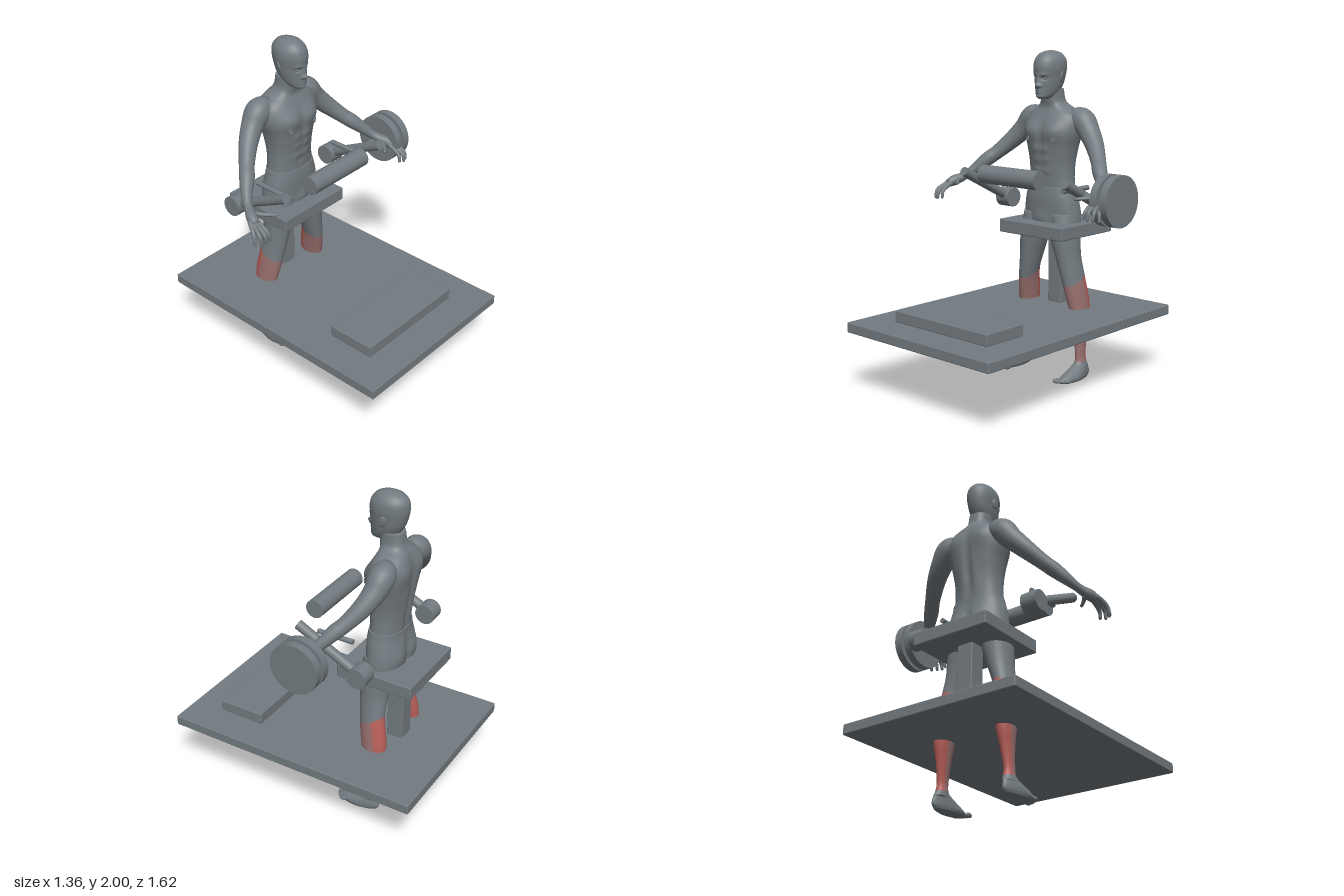
import * as THREE from 'three';
import { RoundedBoxGeometry } from 'three/addons/geometries/RoundedBoxGeometry.js';

const mat = (name, color) => Object.assign(new THREE.MeshStandardMaterial({ color }), { name });
const V = (x, y, z) => new THREE.Vector3(x, y, z);

// Skin closed rings of points, ordered along the part, with capped ends
function skin(rings, pick = () => 0, mats = 1) {
  const n = rings[0].length, m = rings.length, pos = [];
  const lists = Array.from({ length: mats }, () => []);
  rings.flat().forEach(p => pos.push(p.x, p.y, p.z));
  for (let i = 0; i < m - 1; i++) for (let j = 0; j < n; j++) {
    const k = (j + 1) % n, a = i * n + j, b = i * n + k, c = a + n, d = b + n;
    lists[pick(i / (m - 1), (j + 0.5) / n)].push(a, b, d, a, d, c);
  }
  [0, m - 1].forEach((r, end) => {
    const mid = rings[r].reduce((s, p) => s.add(p), V(0, 0, 0)).divideScalar(n);
    const id = pos.push(mid.x, mid.y, mid.z) / 3 - 1;
    for (let j = 0; j < n; j++) {
      const a = r * n + j, b = r * n + (j + 1) % n;
      lists[0].push(...(end ? [a, b, id] : [b, a, id]));
    }
  });
  const g = new THREE.BufferGeometry();
  g.setAttribute('position', new THREE.Float32BufferAttribute(pos, 3));
  g.setIndex(lists.flat());
  let start = 0;
  if (mats > 1) lists.forEach((l, i) => { g.addGroup(start, l.length, i); start += l.length; });
  g.computeVertexNormals();
  return g;
}

// Horizontal sections from low to high: [y, centre x, half width, front z, back z]
// Bumps push the front (side 1) or back (side -1): [x, y, side, amount, width, height]
function loft(keys, rows, { n = 48, bumps = [], square = 1, move, pick, mats } = {}) {
  const c1 = new THREE.CatmullRomCurve3(keys.map(k => V(k[0], k[1], k[2])), false, 'catmullrom');
  const c2 = new THREE.CatmullRomCurve3(keys.map(k => V(k[3], k[4], 0)), false, 'catmullrom');
  const f = v => Math.sign(v) * Math.abs(v) ** square;
  const rings = [];
  for (let i = 0; i <= rows; i++) {
    const a = c1.getPoint(i / rows), b = c2.getPoint(i / rows), ring = [];
    for (let j = 0; j < n; j++) {
      const t = j / n * Math.PI * 2, s = Math.sin(t), c = Math.cos(t);
      const p = V(a.y + a.z * f(s), a.x, (b.x + b.y) / 2 + (b.x - b.y) / 2 * f(c));
      for (const [x, y, side, amt, w, h] of bumps) {
        const face = Math.max(0, c * side);
        p.z += side * amt * Math.min(1, face * 2) * Math.exp(-(((p.x - x) / w) ** 2) - ((a.x - y) / h) ** 2);
      }
      if (move) move(p, s, c);
      ring.push(p);
    }
    rings.push(ring);
  }
  return skin(rings, pick, mats);
}

// Round limb along a path: [x, y, z, radius]
function limb(keys, rows, n = 24) {
  const path = new THREE.CatmullRomCurve3(keys.map(k => V(k[0], k[1], k[2])), false, 'catmullrom');
  const rad = new THREE.CatmullRomCurve3(keys.map((k, i) => V(k[3], i, 0)), false, 'catmullrom');
  const rings = [];
  for (let i = 0; i <= rows; i++) {
    const t = i / rows, c = path.getPoint(t), r = rad.getPoint(t).x, T = path.getTangent(t);
    const U = T.clone().cross(V(1, 1, 0)).normalize(), W = T.clone().cross(U);
    rings.push(Array.from({ length: n }, (_, j) => {
      const a = j / n * Math.PI * 2;
      return c.clone().addScaledVector(U, r * Math.cos(a)).addScaledVector(W, r * Math.sin(a));
    }));
  }
  return skin(rings);
}

const both = (x, ...rest) => [[x, ...rest], [-x, ...rest]];

export function createModel() {
  const model = new THREE.Group();
  model.name = 'seatedCalfMachineWithFigure';
  const grey = mat('grey', 0x737b80);
  const pale = mat('paleRed', 0x99706f), red = mat('muscleRed', 0xb85f59);
  const add = (parent, name, geo, m = grey) => {
    const mesh = new THREE.Mesh(geo, m);
    mesh.name = name;
    parent.add(mesh);
    return mesh;
  };
  const blob = (parent, name, p, s, m = grey) => {
    const b = add(parent, name, new THREE.SphereGeometry(1, 20, 14), m);
    b.position.set(...p);
    b.scale.set(...s);
    return b;
  };

  // Machine: slabs and post, given by their limits on x, y and z
  const box = (name, x0, x1, y0, y1, z0, z1) =>
    add(model, name, new RoundedBoxGeometry(x1 - x0, y1 - y0, z1 - z0, 2, 0.007))
      .position.set((x0 + x1) / 2, (y0 + y1) / 2, (z0 + z1) / 2);
  box('basePlate', -0.597, 0.555, 0.375, 0.437, -0.81, 0.805);
  box('footPlatform', -0.395, 0.353, 0.435, 0.507, 0.313, 0.61);
  box('seat', -0.275, 0.232, 0.885, 0.967, -0.632, -0.153);
  box('seatPost', -0.073, 0.031, 0.435, 0.89, -0.487, -0.383);

  // Machine: cylinders between two points
  const rod = (name, a, b, r) => {
    const from = V(...a), to = V(...b), d = to.clone().sub(from);
    const mesh = add(model, name, new THREE.CylinderGeometry(r, r, d.length(), 40));
    mesh.position.copy(from).add(to).divideScalar(2);
    mesh.quaternion.setFromUnitVectors(V(0, 1, 0), d.normalize());
  };
  rod('thighPad', [-0.245, 1.265, 0.014], [0.203, 1.265, 0.014], 0.056);
  for (const s of [-1, 1]) {
    const x = -0.021 + s * 0.404;
    rod('pivotRoller', [x - 0.05, 1.062, -0.395], [x + 0.05, 1.062, -0.395], 0.061);
    rod('leverArm', [x, 1.062, -0.395], [x, 1.263, 0.005], 0.029);
    rod('handle', [-0.021 + s * 0.323, 1.203, -0.303], [-0.021 + s * 0.323, 1.203, -0.075], 0.015);
  }
  rod('weightPeg', [0.383, 1.177, -0.15], [0.65, 1.177, -0.15], 0.018);
  rod('innerWeight', [0.557, 1.175, -0.15], [0.604, 1.175, -0.15], 0.15);
  rod('outerWeight', [0.626, 1.175, -0.15], [0.674, 1.175, -0.15], 0.15);

  // Figure
  const body = new THREE.Group();
  body.name = 'figure';
  body.position.x = -0.021;
  model.add(body);

  add(body, 'torso', loft([
    [1.15, 0, 0.157, -0.265, -0.455], [1.25, 0, 0.15, -0.262, -0.458], [1.33, 0, 0.152, -0.255, -0.468],
    [1.42, 0, 0.167, -0.243, -0.485], [1.5, 0, 0.19, -0.24, -0.492], [1.57, 0, 0.195, -0.26, -0.49],
    [1.62, 0, 0.175, -0.28, -0.48], [1.655, 0, 0.125, -0.295, -0.467], [1.68, 0, 0.085, -0.295, -0.45],
    [1.71, 0, 0.068, -0.288, -0.435], [1.77, 0, 0.064, -0.28, -0.425]], 80, {
    square: 0.85, n: 72,
    bumps: [...both(0.085, 1.53, 1, 0.02, 0.065, 0.055), [0, 1.5, 1, -0.012, 0.014, 0.09],
      ...both(0.035, 1.41, 1, 0.007, 0.024, 0.022), ...both(0.035, 1.345, 1, 0.007, 0.024, 0.022),
      ...both(0.035, 1.28, 1, 0.007, 0.024, 0.022), [0, 1.24, 1, -0.01, 0.009, 0.011],
      ...both(0.1, 1.57, -1, 0.016, 0.06, 0.07), [0, 1.42, -1, -0.018, 0.02, 0.2],
      ...both(0.045, 1.3, -1, 0.008, 0.03, 0.1)] }));
  add(body, 'shorts', loft([
    [0.925, 0, 0.17, -0.28, -0.455], [0.95, 0, 0.198, -0.258, -0.472], [1.02, 0, 0.196, -0.255, -0.475],
    [1.1, 0, 0.182, -0.252, -0.468], [1.15, 0, 0.169, -0.255, -0.462], [1.183, 0, 0.162, -0.26, -0.461]], 36, {
    square: 0.85, n: 64,
    bumps: [...both(0.085, 1.03, -1, 0.017, 0.06, 0.07), [0, 1.03, -1, -0.025, 0.014, 0.09],
      [0, 0.99, 1, 0.012, 0.04, 0.04]] }));

  // Head with brow, eye sockets, nose, lips and chin
  add(body, 'head', loft([
    [1.712, 0, 0.028, -0.245, -0.31], [1.725, 0, 0.046, -0.228, -0.35], [1.755, 0, 0.063, -0.227, -0.395],
    [1.8, 0, 0.075, -0.226, -0.425], [1.85, 0, 0.082, -0.222, -0.443], [1.9, 0, 0.088, -0.217, -0.451],
    [1.945, 0, 0.082, -0.228, -0.446], [1.978, 0, 0.06, -0.255, -0.42], [1.993, 0, 0.035, -0.29, -0.385],
    [2, 0, 0.006, -0.33, -0.345]], 80, {
    n: 80,
    bumps: [[0, 1.793, 1, 0.024, 0.014, 0.014], [0, 1.822, 1, 0.013, 0.009, 0.025],
      ...both(0.017, 1.788, 1, 0.008, 0.008, 0.009), ...both(0.034, 1.835, 1, -0.011, 0.017, 0.011),
      ...both(0.034, 1.858, 1, 0.005, 0.025, 0.009), [0, 1.765, 1, 0.007, 0.022, 0.006],
      [0, 1.75, 1, 0.007, 0.019, 0.006], [0, 1.727, 1, 0.006, 0.02, 0.012]] }));

  for (const s of [1, -1]) {
    const side = new THREE.Group();
    side.name = s > 0 ? 'leftSide' : 'rightSide';
    side.scale.x = s;
    body.add(side);

    // Face and chest details
    blob(side, 'eye', [0.034, 1.834, -0.248], [0.012, 0.008, 0.012]);
    blob(side, 'ear', [0.088, 1.846, -0.338], [0.008, 0.034, 0.02]).rotation.set(-0.15, 0.35, -0.12);
    const areola = add(side, 'nipple', new THREE.TorusGeometry(0.014, 0.004, 8, 20));
    areola.position.set(0.1, 1.47, -0.243);
    areola.rotation.y = 0.4;
    blob(side, 'nipple', [0.1, 1.47, -0.242], [0.006, 0.006, 0.008]);

    // Arm and hand
    add(side, 'arm', limb([
      [0.12, 1.6, -0.395, 0.055], [0.195, 1.585, -0.405, 0.076], [0.26, 1.515, -0.395, 0.065],
      [0.33, 1.44, -0.36, 0.055], [0.405, 1.36, -0.3, 0.045], [0.45, 1.315, -0.255, 0.044],
      [0.5, 1.262, -0.21, 0.035], [0.538, 1.22, -0.165, 0.026], [0.558, 1.2, -0.13, 0.028],
      [0.582, 1.182, -0.085, 0.033], [0.595, 1.165, -0.045, 0.024]], 60, 32));
    const fingers = [
      [[0.612, 1.178, -0.075], [0.642, 1.13, -0.015], [0.652, 1.077, 0.002]],
      [[0.603, 1.175, -0.065], [0.628, 1.132, 0.012], [0.63, 1.085, 0.03]],
      [[0.59, 1.172, -0.06], [0.601, 1.13, 0.025], [0.6, 1.085, 0.042]],
      [[0.575, 1.175, -0.065], [0.573, 1.132, 0.018], [0.568, 1.09, 0.034]],
      [[0.56, 1.195, -0.11], [0.515, 1.187, -0.05], [0.472, 1.183, -0.008]]];
    fingers.forEach(([a, b, c], i) => {
      add(side, i < 4 ? 'finger' : 'thumb', limb([[...a, 0.014], [...b, 0.012], [...c, 0.009]], 10, 12));
      blob(side, 'fingertip', c, [0.0092, 0.0092, 0.0092]);
    });

    // Leg and foot, with the calf coloured from ankle to knee
    const keys = [
      [0, 0.235, 0.044, -0.185, -0.425], [0.02, 0.235, 0.049, -0.165, -0.44], [0.045, 0.234, 0.045, -0.21, -0.44],
      [0.075, 0.23, 0.036, -0.285, -0.43], [0.1, 0.227, 0.031, -0.328, -0.418], [0.15, 0.225, 0.027, -0.335, -0.411],
      [0.25, 0.218, 0.035, -0.33, -0.428], [0.37, 0.212, 0.05, -0.315, -0.455], [0.47, 0.202, 0.055, -0.3, -0.458],
      [0.6, 0.184, 0.058, -0.28, -0.432], [0.75, 0.148, 0.071, -0.258, -0.43], [0.88, 0.122, 0.088, -0.245, -0.44],
      [1.02, 0.105, 0.085, -0.26, -0.455]];
    const calf = (t, u) => {
      if (t < 4 / 12 || t > 9 / 12) return 0;
      return u > 0.3 && u < 0.7 ? 2 : 1;
    };
    add(side, 'leg', loft(keys, 96, {
      n: 40, pick: calf, mats: 3,
      move: (p, sn, c) => {
        // Raise the knee line toward the back and narrow the heel
        p.y -= 0.04 * c * Math.exp(-(((p.y - 0.6) / 0.13) ** 2));
        if (p.y < 0.07) p.x -= (p.x - 0.235) * 0.3 * Math.max(0, -c);
      } }), [grey, pale, red]);
    for (let i = 0; i < 5; i++)
      blob(side, 'toe', [0.2 + i * 0.018, 0.015, -0.172 - i * i * 0.0025],
        [i ? 0.0095 : 0.014, i ? 0.013 : 0.015, 0.026]);
  }
  return model;
}
